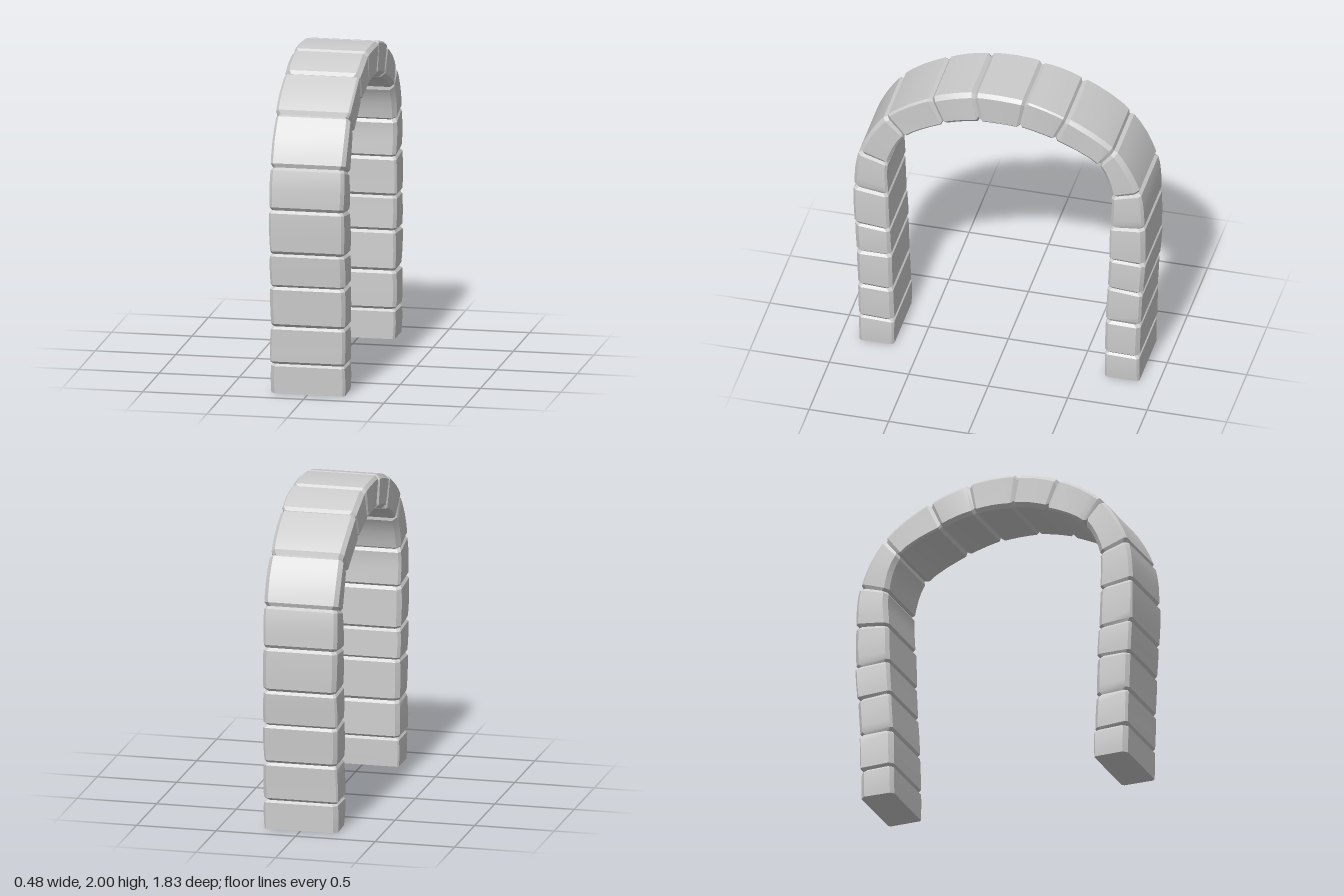
import * as THREE from 'three';
import { toCreasedNormals } from 'three/addons/utils/BufferGeometryUtils.js';

// Joints between stones, from the front foot over the crown to the back foot:
// [outer z, outer y, inner z, inner y]
const JOINTS = [
  [0.88, 0, 0.663, 0], [0.885, 0.185, 0.663, 0.177], [0.89, 0.42, 0.672, 0.41],
  [0.9, 0.67, 0.68, 0.67], [0.912, 0.88, 0.69, 0.86], [0.917, 1.155, 0.7, 1.125],
  [0.885, 1.42, 0.7, 1.36], [0.715, 1.72, 0.595, 1.585], [0.43, 1.91, 0.35, 1.722],
  [0.16, 1.988, 0.122, 1.78], [-0.165, 1.985, -0.122, 1.778], [-0.425, 1.905, -0.34, 1.722],
  [-0.725, 1.71, -0.62, 1.58], [-0.885, 1.415, -0.7, 1.36], [-0.912, 1.155, -0.695, 1.13],
  [-0.915, 0.88, -0.69, 0.89], [-0.9, 0.66, -0.68, 0.675], [-0.888, 0.42, -0.668, 0.425],
  [-0.88, 0.18, -0.663, 0.185], [-0.88, 0, -0.663, 0],
];
const HALF_WIDTH = 0.235;
const GROOVE = 0.016;

export function createModel() {
  const arch = new THREE.Group();
  arch.name = 'stoneArch';
  const material = new THREE.MeshStandardMaterial({ color: 0xcccccc });
  const outer = new THREE.CatmullRomCurve3(JOINTS.map(j => new THREE.Vector3(0, j[1], j[0])));
  const inner = new THREE.CatmullRomCurve3(JOINTS.map(j => new THREE.Vector3(0, j[3], j[2])));
  const count = JOINTS.length - 1;

  let seed = 7;
  const random = () => (seed = (seed * 16807) % 2147483647) / 2147483647;

  // Eight-sided cross-section with chamfered corners, across the arch at t
  function section(t, inset, chamfers, shifts) {
    const a = inner.getPoint(t), b = outer.getPoint(t);
    const depth = a.distanceTo(b);
    const corners = [[0, -1], [1, -1], [1, 1], [0, 1]];
    const ring = [];
    corners.forEach(([r, s], k) => {
      const c = chamfers[k];
      const x = s * (HALF_WIDTH - inset + shifts[k]);
      const d = r ? depth - inset : inset;
      const alongX = [x - s * c, d];
      const alongD = [x, d + (r ? -c : c)];
      const pair = k % 2 ? [alongD, alongX] : [alongX, alongD];
      for (const [px, pd] of pair) {
        const p = a.clone().lerp(b, pd / depth);
        p.x = px;
        ring.push(p);
      }
    });
    return ring;
  }

  // Closed skin over a series of matching rings
  function loft(rings) {
    const n = rings[0].length, index = [];
    const last = (rings.length - 1) * n;
    for (let j = 0; j < rings.length - 1; j++) {
      for (let i = 0; i < n; i++) {
        const a = j * n + i, b = j * n + (i + 1) % n;
        index.push(a, b, b + n, a, b + n, a + n);
      }
    }
    for (let i = 1; i < n - 1; i++) {
      index.push(0, i + 1, i, last, last + i, last + i + 1);
    }
    const geometry = new THREE.BufferGeometry().setFromPoints(rings.flat());
    geometry.setIndex(index);
    return toCreasedNormals(geometry, 0.4);
  }

  // One worn stone per pair of joints, pinched at the mortar grooves
  for (let i = 0; i < count; i++) {
    const chamfers = [0, 1, 2, 3].map(() => 0.01 + 0.018 * random());
    const startShift = [0, 1, 2, 3].map(() => -0.01 * random());
    const endShift = [0, 1, 2, 3].map(() => -0.01 * random());
    const first = i === 0, final = i === count - 1;
    const steps = [0, 0.07, 0.25, 0.5, 0.75, 0.93, 1];
    const rings = steps.map((s) => {
      const groove = (s === 0 && !first) || (s === 1 && !final);
      const shifts = startShift.map((v, k) =>
        groove ? 0 : THREE.MathUtils.lerp(v, endShift[k], s) + 0.004 * Math.sin(Math.PI * s));
      return section((i + s) / count, groove ? GROOVE : 0, chamfers, shifts);
    });
    const stone = new THREE.Mesh(loft(rings), material);
    stone.name = first || final ? 'footStone' : i === 9 ? 'keystone' : i < 6 || i > 12 ? 'pillarStone' : 'archStone';
    arch.add(stone);
  }
  return arch;
}
